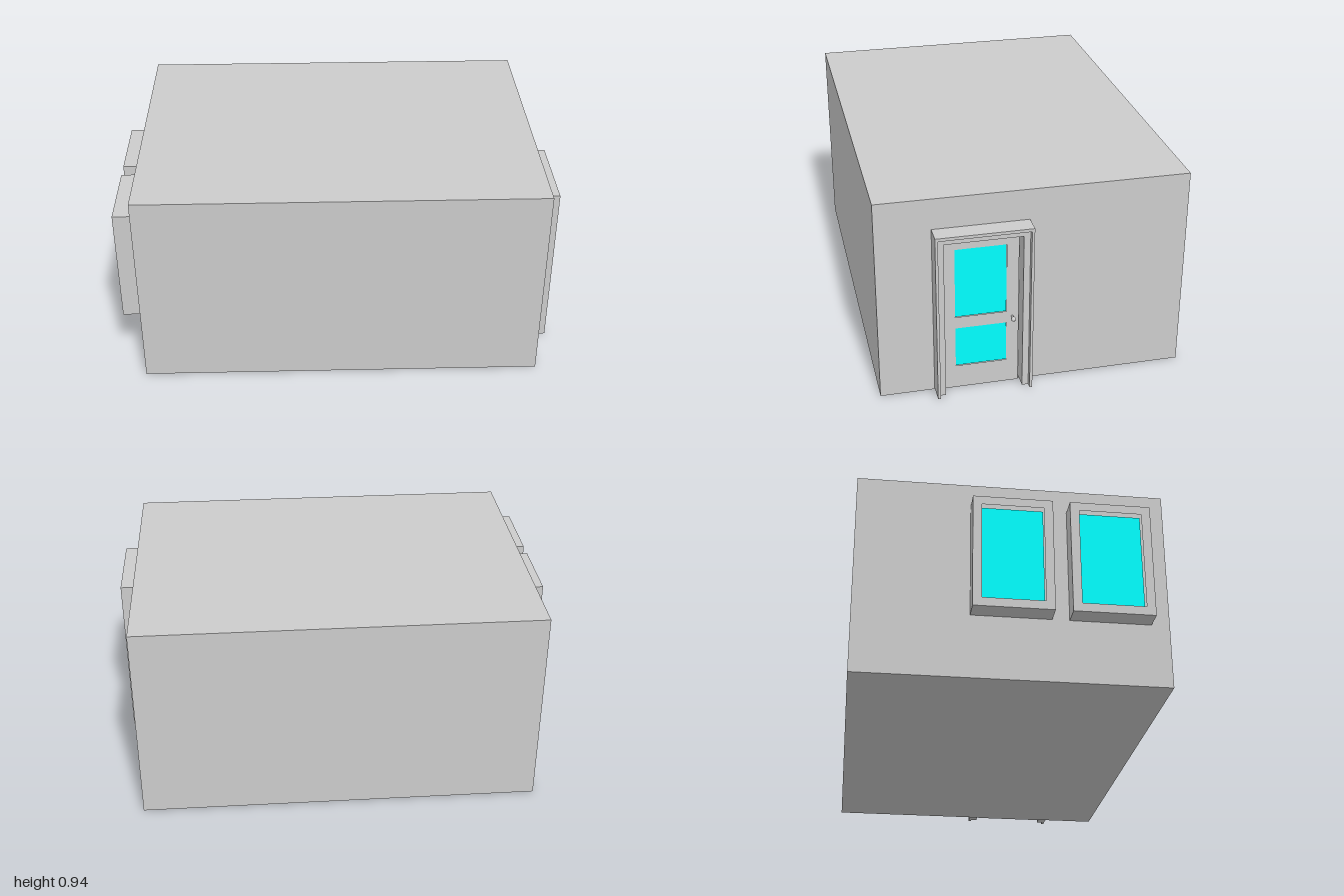
import * as THREE from 'three';

const grey = new THREE.MeshStandardMaterial({ color: 0xcccccc, flatShading: true });
const smooth = new THREE.MeshStandardMaterial({ color: 0xcccccc });
const cyan = new THREE.MeshStandardMaterial({ color: 0x00ffff });

const XL = -0.91, XR = 0.915, H = 0.935, D = 0.68, T = 0.02;

// Box given by its minimum and maximum corners
function box(name, a, b, material = grey) {
  const geo = new THREE.BoxGeometry(b[0] - a[0], b[1] - a[1], b[2] - a[2]);
  const mesh = new THREE.Mesh(geo, material);
  mesh.position.set((a[0] + b[0]) / 2, (a[1] + b[1]) / 2, (a[2] + b[2]) / 2);
  mesh.name = name;
  return mesh;
}

// Rectangle [z0, y0, z1, y1] as corner points in the end-wall plane
const corners = ([z0, y0, z1, y1]) =>
  [[z0, y0], [z1, y0], [z1, y1], [z0, y1]].map(([z, y]) => new THREE.Vector2(-z, y));

// Upright panel across the x axis, from x0 to x1, with rectangular holes
function panel(name, outline, holes, x0, x1) {
  const shape = new THREE.Shape(outline);
  for (const h of holes) shape.holes.push(new THREE.Path(corners(h)));
  const geo = new THREE.ExtrudeGeometry(shape, { depth: x1 - x0, bevelEnabled: false });
  geo.rotateY(Math.PI / 2).translate(x0, 0, 0);
  const mesh = new THREE.Mesh(geo, grey);
  mesh.name = name;
  return mesh;
}

// Three-sided door surround, open at the bottom
const surround = (z0, z1, top, w, wTop, y0 = 0.005) =>
  [[z0, y0], [z0 + w, y0], [z0 + w, top - wTop], [z1 - w, top - wTop],
    [z1 - w, y0], [z1, y0], [z1, top], [z0, top]].map(([z, y]) => new THREE.Vector2(-z, y));

function makeWindow(z0, z1) {
  const g = new THREE.Group();
  g.name = 'window';
  const y0 = 0.29, y1 = 0.825, w = 0.04;
  g.add(panel('windowFrame', corners([z0, y0, z1, y1]), [[z0 + w, y0 + w, z1 - w, y1 - w]], -1, XL));
  g.add(box('windowGlass', [-0.97, y0 + w, z0 + w], [-0.96, y1 - w, z1 - w], cyan));
  return g;
}

function makeDoor() {
  const g = new THREE.Group();
  g.name = 'door';
  // stepped surround: thin raised rim outside, lower jamb inside
  g.add(panel('doorFrameRim', surround(0.02, 0.44, 0.795, 0.012, 0.014), [], XR, 1));
  g.add(panel('doorFrameJamb', surround(0.032, 0.428, 0.781, 0.028, 0.031), [], XR - T, 0.975));
  // leaf with two glazed openings, leaving a narrow gap on the latch side
  const panes = [[0.12, 0.36, 0.345, 0.69], [0.12, 0.112, 0.345, 0.304]];
  g.add(panel('doorLeaf', corners([0.066, 0, 0.4, 0.748]), panes, XR - T, 0.92));
  for (const [z0, y0, z1, y1] of panes)
    g.add(box('doorGlass', [0.9, y0, z0], [0.916, y1, z1], cyan));
  // knob turned on the x axis
  const profile = [[0, 0], [0.005, 0], [0.005, 0.016], [0.009, 0.02], [0.011, 0.027],
    [0.009, 0.034], [0.005, 0.037], [0, 0.038]].map(p => new THREE.Vector2(...p));
  const knob = new THREE.Mesh(new THREE.LatheGeometry(profile, 20), smooth);
  knob.rotation.z = -Math.PI / 2;
  knob.position.set(0.919, 0.333, 0.094);
  knob.name = 'doorKnob';
  g.add(knob);
  return g;
}

export function createModel() {
  const model = new THREE.Group();
  model.name = 'room';
  const windows = [[-0.18, 0.17], [0.245, 0.6]];

  // hollow room shell
  model.add(
    box('floor', [XL, 0, -D], [XR, 0.004, D]),
    box('roof', [XL, H - T, -D], [XR, H, D]),
    box('frontWall', [XL + T, 0.004, D - T], [XR - T, H - T, D]),
    box('backWall', [XL + T, 0.004, -D], [XR - T, H - T, -D + T]),
  );
  const wall = corners([-D, 0.004, D, H - T]);
  model.add(panel('windowWall', wall,
    windows.map(([a, b]) => [a + 0.04, 0.33, b - 0.04, 0.785]), XL, XL + T));
  model.add(panel('doorWall', wall, [[0.04, 0.01, 0.42, 0.77]], XR - T, XR));

  for (const [a, b] of windows) model.add(makeWindow(a, b));
  model.add(makeDoor());
  return model;
}
